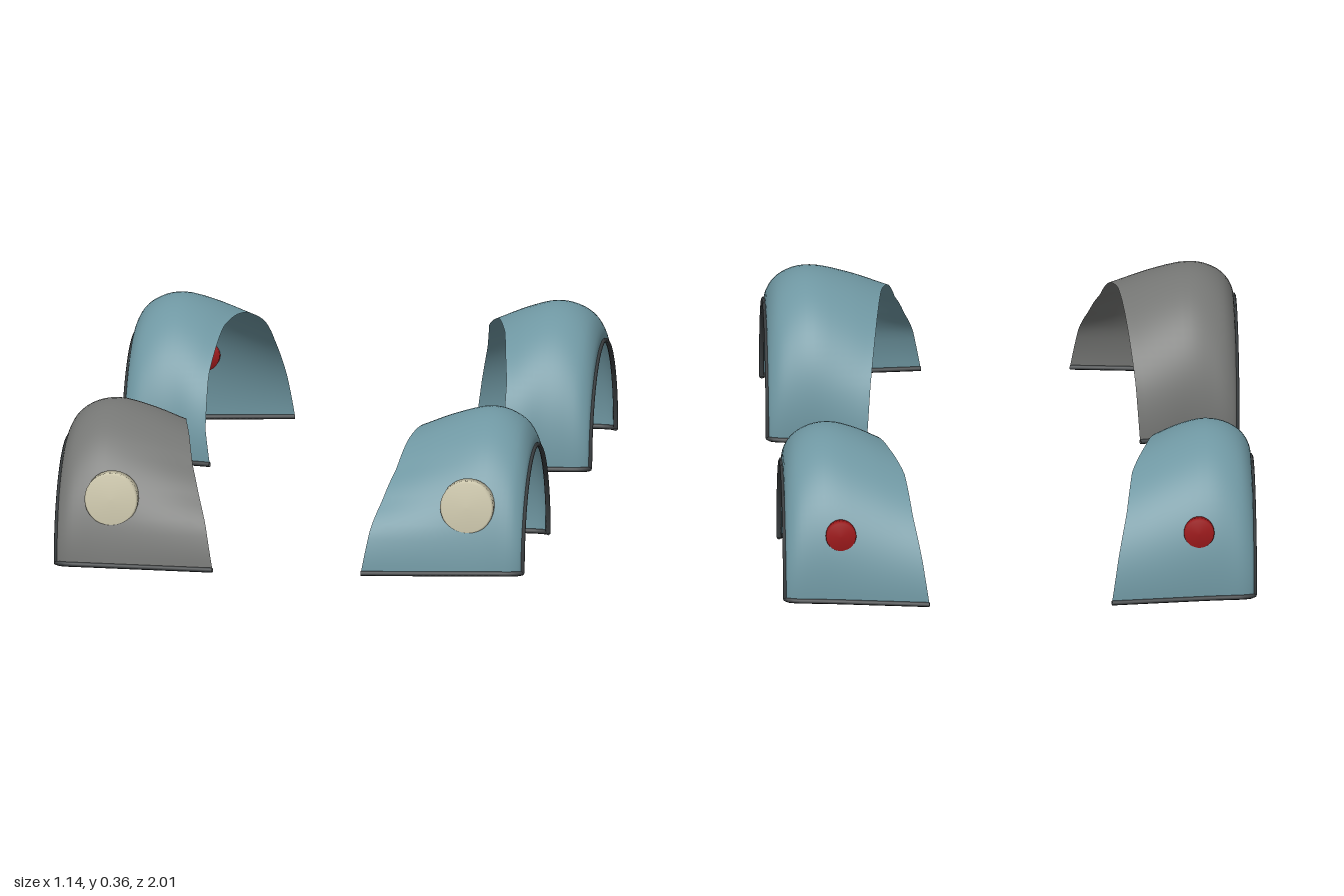
import * as THREE from 'three';

const mat = (name, color, side = THREE.FrontSide) => {
  const m = new THREE.MeshStandardMaterial({ color, side });
  m.name = name;
  return m;
};

const CENTER_Z = 0.68, FOOT_Y = 0.008, ARC = 48, ACROSS = 20;

// Inner edge of each fender: [degrees from the outer foot, x, radius]
const FRONT_EDGE = [[0, 0.18, 0.315], [20, 0.2, 0.308], [35, 0.222, 0.285], [55, 0.247, 0.277],
  [75, 0.265, 0.293], [95, 0.285, 0.303], [130, 0.305, 0.312], [155, 0.32, 0.319], [180, 0.33, 0.32]];
const REAR_EDGE = [[0, 0.22, 0.32], [20, 0.237, 0.315], [40, 0.258, 0.31], [65, 0.275, 0.303],
  [85, 0.31, 0.31], [110, 0.342, 0.318], [140, 0.362, 0.318], [165, 0.362, 0.318], [180, 0.35, 0.32]];

// Rolled shoulder from wheel rim to crown: [x, radius at foot, radius at top]
const SHOULDER = [[0.566, 0.262, 0.262], [0.562, 0.27, 0.285], [0.541, 0.279, 0.32],
  [0.5, 0.283, 0.345], [0.45, 0.288, 0.352]];

function edgeAt(table, deg) {
  let i = 0;
  while (i < table.length - 2 && deg > table[i + 1][0]) i++;
  const [a, b] = [table[i], table[i + 1]];
  const k = (deg - a[0]) / (b[0] - a[0]);
  return [a[1] + (b[1] - a[1]) * k, a[2] + (b[2] - a[2]) * k];
}

// Cross-section of the fender at one angle around the wheel
function section(t, sx, sz) {
  const front = sz > 0;
  const w = Math.sin(t) ** 2;
  const skew = front ? -0.022 * Math.sin(t) * Math.cos(t) : 0;
  const profile = SHOULDER.map(([x, foot, top], i) =>
    [x, foot + (top + (front ? 0 : 0.006) - foot) * w + skew * i / 4]);
  profile[0][1] = 0.262;
  const [xi, ri] = edgeAt(front ? FRONT_EDGE : REAR_EDGE, t * 180 / Math.PI);
  const [xc, rc] = profile[4];
  profile.push([(xc + xi) / 2, (rc + ri) / 2 + 0.006 * w], [xi, ri]);
  const curve = new THREE.CatmullRomCurve3(profile.map(([x, r]) => new THREE.Vector3(
    sx * x, FOOT_Y + r * Math.sin(t), sz * (CENTER_Z + r * Math.cos(t)))));
  return curve.getPoints(ACROSS);
}

function shellGeometry(rows, flip) {
  const pos = [], index = [], n = ACROSS + 1;
  rows.forEach(row => row.forEach(p => pos.push(p.x, p.y, p.z)));
  for (let i = 0; i < rows.length - 1; i++) {
    for (let j = 0; j < ACROSS; j++) {
      const a = i * n + j, b = a + 1, c = a + n, d = c + 1;
      if (flip) index.push(a, c, b, b, c, d);
      else index.push(a, b, c, b, d, c);
    }
  }
  const g = new THREE.BufferGeometry();
  g.setAttribute('position', new THREE.Float32BufferAttribute(pos, 3));
  g.setIndex(index);
  g.computeVertexNormals();
  return g;
}

export function createModel() {
  const model = new THREE.Group();
  const blue = mat('blueGreyPaint', 0x6f97a2, THREE.DoubleSide);
  const grey = mat('greyPrimer', 0x757674, THREE.DoubleSide);
  const trim = mat('darkTrim', 0x3a3e40, THREE.DoubleSide);
  const cream = mat('creamLens', 0xd8d2b6);
  const red = mat('redLens', 0xa01a1c);

  const add = (parent, name, geometry, material) => {
    const mesh = new THREE.Mesh(geometry, material);
    mesh.name = name;
    parent.add(mesh);
    return mesh;
  };
  const tube = (points, segments) =>
    new THREE.TubeGeometry(new THREE.CatmullRomCurve3(points), segments, 0.006, 6);

  for (const sz of [1, -1]) {
    for (const sx of [1, -1]) {
      const front = sz > 0;
      const fender = new THREE.Group();
      fender.name = (front ? 'front' : 'rear') + (sx > 0 ? 'Left' : 'Right') + 'Fender';
      model.add(fender);

      // Curved body panel
      const rows = [];
      for (let i = 0; i <= ARC; i++) rows.push(section(Math.PI * i / ARC, sx, sz));
      add(fender, 'fenderShell', shellGeometry(rows, sx * sz < 0), front && sx < 0 ? grey : blue);

      // Beading around the wheel opening and along both feet
      add(fender, 'wheelArchTrim', tube(rows.map(r => r[0]), 64), trim);
      add(fender, 'outerFootTrim', tube(rows[0], 24), trim);
      add(fender, 'innerFootTrim', tube(rows[ARC], 24), trim);

      // Lamp: a softly rounded disc sunk into the panel
      const r = front ? 0.065 : 0.037;
      const depth = front ? 0.045 : 0.03;
      const lens = new THREE.LatheGeometry([[0, -depth], [r, -depth], [r, -0.008], [r * 0.93, -0.001], [0, 0]]
        .map(([x, y]) => new THREE.Vector2(x, y)), 28);
      lens.rotateX(sz * Math.PI / 2);
      const lamp = add(fender, front ? 'headlight' : 'tailLight', lens, front ? cream : red);
      lamp.position.set(sx * 0.432, front ? 0.167 : 0.166, sz * 0.956);
    }
  }
  return model;
}
